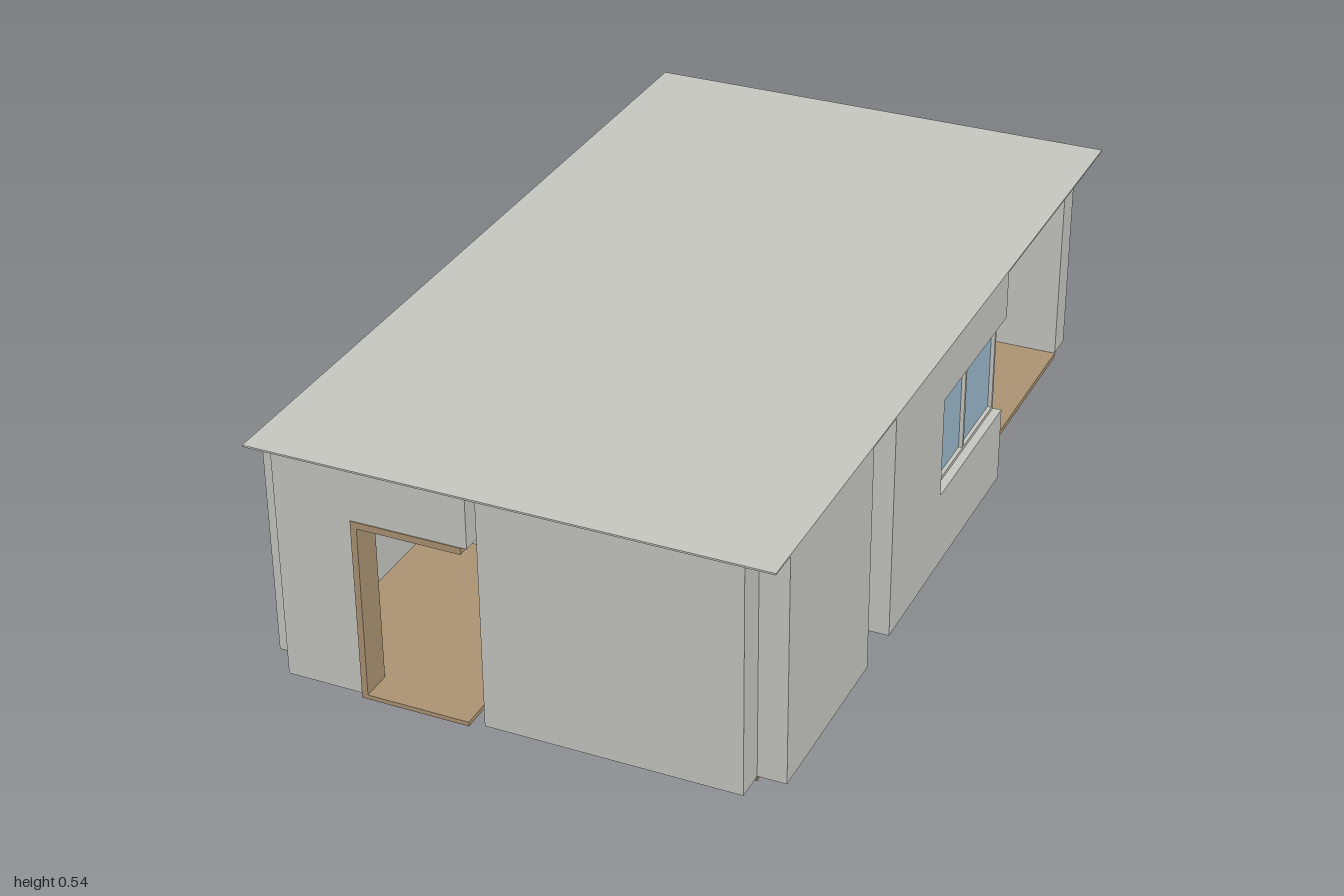
import * as THREE from 'three';

const WALL = new THREE.MeshStandardMaterial({ color: 0xc9c9c4 });
WALL.name = 'pale grey plaster';
const WOOD = new THREE.MeshStandardMaterial({ color: 0xae9575 });
WOOD.name = 'brown wood';
const GLASS = new THREE.MeshStandardMaterial({ color: 0x9fbbcf });
GLASS.name = 'blue glass';

// Outer and inner wall faces, wall foot, opening top and ceiling height
const XO = 0.57, XI = 0.507, ZO = 0.998, ZI = 0.93;
const FOOT = 0.012, SILL = 0.19, HEAD = 0.425, TOP = 0.538;

// Box given by its lower and upper limits on each axis
function block(parent, name, material, [x0, x1], [y0, y1], [z0, z1]) {
  const mesh = new THREE.Mesh(new THREE.BoxGeometry(x1 - x0, y1 - y0, z1 - z0), material);
  mesh.position.set((x0 + x1) / 2, (y0 + y1) / 2, (z0 + z1) / 2);
  mesh.name = name;
  parent.add(mesh);
}

// Two-pane window in a thin frame, running along x and centred on its depth
function makeWindow(name, width) {
  const g = new THREE.Group();
  g.name = name;
  const w = width / 2, t = 0.008, d = [-0.012, 0.012];
  block(g, 'glass', GLASS, [-w + t, w - t], [SILL + t, HEAD - t], [-0.003, 0.003]);
  block(g, 'frameBottom', WALL, [-w, w], [SILL, SILL + t], d);
  block(g, 'frameTop', WALL, [-w, w], [HEAD - t, HEAD], d);
  for (const x of [-w + t / 2, 0, w - t / 2]) {
    block(g, 'frameUpright', WALL, [x - t / 2, x + t / 2], [SILL + t, HEAD - t], d);
  }
  return g;
}

// Door frame with one jamb, a header and a threshold
function makeDoorFrame(name, x0, x1, jambX, z) {
  const g = new THREE.Group();
  g.name = name;
  block(g, 'header', WOOD, [x0, x1], [HEAD - 0.015, HEAD], z);
  block(g, 'jamb', WOOD, [jambX, jambX + 0.014], [FOOT, HEAD - 0.015], z);
  block(g, 'threshold', WOOD, [x0, x1], [0.002, FOOT], z);
  return g;
}

export function createModel() {
  const house = new THREE.Group();
  house.name = 'house';

  // Floor slab with a notch at the side entrance
  const outline = [[-XI, -ZI], [XI, -ZI], [XI, 0.375], [0.345, 0.375], [0.345, 0.5], [XI, 0.5], [XI, ZI], [-XI, ZI]];
  const shape = new THREE.Shape(outline.map(([x, z]) => new THREE.Vector2(x, -z)));
  const floor = new THREE.Mesh(new THREE.ExtrudeGeometry(shape, { depth: FOOT, bevelEnabled: false }), WOOD);
  floor.rotation.x = -Math.PI / 2;
  floor.name = 'floor';
  house.add(floor);

  // Flat roof
  block(house, 'roof', WALL, [-XO, XO], [TOP, 0.542], [-1, 1]);

  const full = [FOOT, TOP], low = [FOOT, SILL], high = [HEAD, TOP];

  // Front wall
  const front = [ZI, ZO];
  block(house, 'frontWallRight', WALL, [-XI, -0.335], full, front);
  block(house, 'frontWallOverDoor', WALL, [-0.335, -0.077], high, front);
  block(house, 'frontWallLeft', WALL, [-0.055, XI], full, front);
  house.add(makeDoorFrame('frontDoorFrame', -0.335, -0.09, -0.335, [ZI, 1]));

  // Back wall, open beside the door
  const back = [-ZO, -ZI];
  block(house, 'backWall', WALL, [0.35, XI], full, back);
  block(house, 'backWallUnderWindow', WALL, [-0.065, 0.35], low, back);
  block(house, 'backWallOverWindow', WALL, [-0.065, 0.35], high, back);
  house.add(makeDoorFrame('backDoorFrame', -0.3, -0.066, -0.08, [-1, -ZI]));
  const backWindow = makeWindow('backWindow', 0.415);
  backWindow.position.set(0.1425, 0, -0.965);
  house.add(backWindow);

  // Side walls: one closed, one with an entrance, a window and an open end
  const side = [XI, XO];
  block(house, 'closedSideWall', WALL, [-XO, -XI], full, [-ZI, ZI]);
  block(house, 'sideWallFront', WALL, side, full, [0.5, ZI]);
  block(house, 'sideWallMiddle', WALL, side, full, [0.08, 0.375]);
  block(house, 'sideWallUnderWindow', WALL, side, low, [-0.32, 0.08]);
  block(house, 'sideWallOverWindow', WALL, side, high, [-0.32, 0.08]);
  const sideWindow = makeWindow('sideWindow', 0.395);
  sideWindow.rotation.y = Math.PI / 2;
  sideWindow.position.set(0.538, 0, -0.1185);
  house.add(sideWindow);

  // Inner partitions
  block(house, 'frontPartition', WALL, [-XI, 0.345], full, [0.375, 0.41]);
  block(house, 'backPartition', WALL, [-XI, -0.05], full, [-0.63, -0.595]);

  return house;
}
